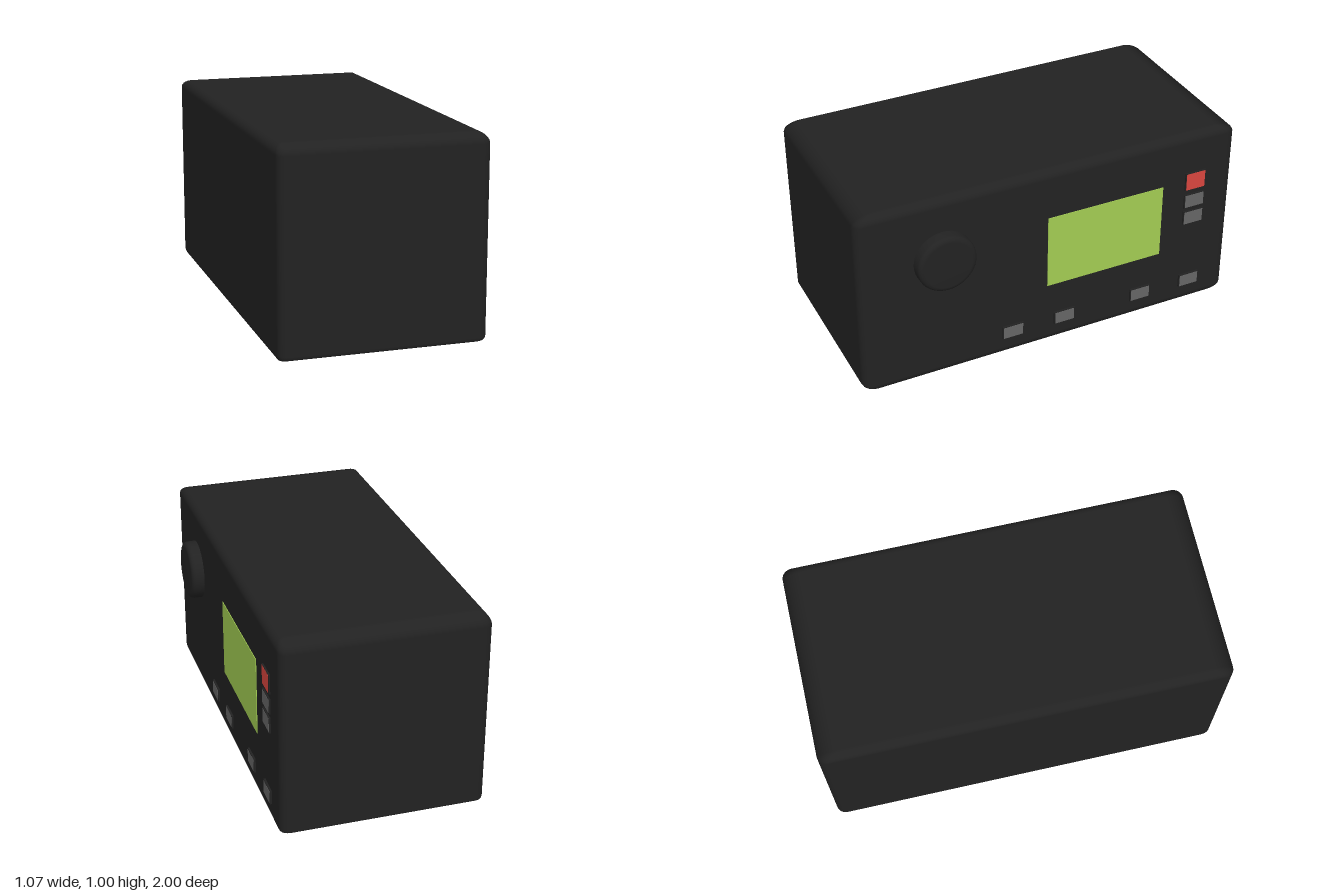
import * as THREE from 'three';
import { RoundedBoxGeometry } from 'three/addons/geometries/RoundedBoxGeometry.js';

const FACE = 0.465; // x of the control panel

export function createModel() {
  const group = new THREE.Group();
  const mat = (name, color) => {
    const m = new THREE.MeshStandardMaterial({ color });
    m.name = name;
    return m;
  };
  const black = mat('black casing', 0x222222);
  const grey = mat('grey button', 0x666666);
  const red = mat('red button', 0xda463f);
  const green = mat('green screen', 0xa3cd53);

  const add = (name, geometry, material, x, y, z) => {
    const mesh = new THREE.Mesh(geometry, material);
    mesh.name = name;
    mesh.position.set(x, y, z);
    group.add(mesh);
    return mesh;
  };

  // Casing: rounded box whose ends curve in a little further at top and bottom
  const casing = new RoundedBoxGeometry(1, 1, 2, 3, 0.045);
  const p = casing.attributes.position;
  for (let i = 0; i < p.count; i++) {
    const t = Math.max(0, (Math.abs(p.getY(i)) - 0.455) / 0.045);
    p.setZ(i, p.getZ(i) * (1 - 0.06 * t * t));
  }
  add('casing', casing, black, FACE - 0.5, 0.5, 0);

  // Display panel
  add('screen', new THREE.BoxGeometry(0.006, 0.395, 0.63), green, FACE, 0.5425, -0.285);

  // Tuning knob with a rounded rim
  const profile = [[0.149, -0.01], [0.149, 0.042], [0.145, 0.053], [0.136, 0.061], [0.122, 0.065], [0, 0.065]]
    .map(([r, h]) => new THREE.Vector2(r, h));
  const knob = add('knob', new THREE.LatheGeometry(profile, 40), black, FACE, 0.677, 0.575);
  knob.rotation.z = -Math.PI / 2;

  // Buttons: dark surround with a coloured cap face
  const button = (name, y, z, h, depth, material) => {
    const w = 0.104;
    add(name + 'Surround', new THREE.BoxGeometry(depth + 0.02, h + 0.008, w + 0.01), black,
      FACE + depth / 2 - 0.01, y, z);
    add(name, new THREE.BoxGeometry(0.002, h, w), material, FACE + depth, y, z);
  };
  for (const z of [0.217, -0.066, -0.496, -0.782]) button('lowerButton', 0.137, z, 0.064, 0.01, grey);
  button('redButton', 0.735, -0.782, 0.092, 0.008, red);
  for (const y of [0.621, 0.522]) button('sideButton', y, -0.782, 0.07, 0.008, grey);

  return group;
}
